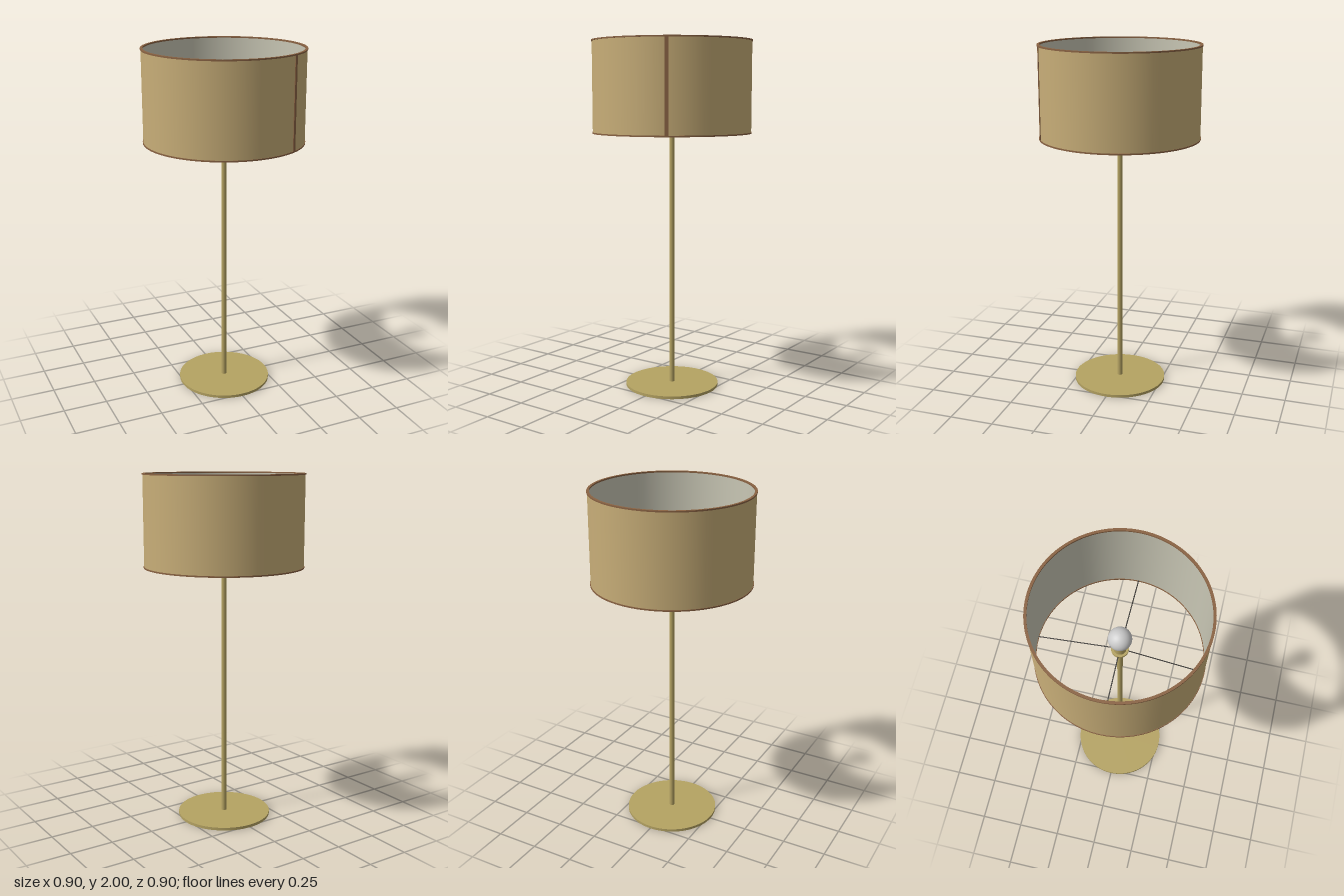
import * as THREE from 'three';

const SEG = 64;
const mat = (color, side = THREE.FrontSide) => new THREE.MeshStandardMaterial({ color, side });

export function createModel() {
  const lamp = new THREE.Group();
  const brass = mat(0xb5a362), fabric = mat(0xc8ae78), lining = mat(0xc8c6b4);
  const trim = mat(0x8a6343), wire = mat(0x44423f), glass = mat(0xcccccc);

  const add = (name, geometry, material, y = 0, parent = lamp) => {
    const mesh = new THREE.Mesh(geometry, material);
    mesh.name = name;
    mesh.position.y = y;
    parent.add(mesh);
    return mesh;
  };
  const lathe = (points, seg = SEG) =>
    new THREE.LatheGeometry(points.map(([r, y]) => new THREE.Vector2(r, y)), seg);
  const cylinder = (r, h, seg = 32) => new THREE.CylinderGeometry(r, r, h, seg);

  // Base and pole
  add('base', cylinder(0.27, 0.016, SEG), brass, 0.008);
  add('pole', cylinder(0.015, 1.51, 24), brass, 0.765);

  // Lamp holder: collar, flange and socket
  add('collar', cylinder(0.026, 0.035), brass, 1.53);
  add('flange', cylinder(0.046, 0.012), brass, 1.555);
  add('socket', cylinder(0.033, 0.075), brass, 1.598);

  // Bulb: short neck blending into a sphere
  const bulb = [[0.024, 1.63]];
  for (let i = 0; i <= 20; i++) {
    const a = 0.45 + (Math.PI - 0.45) * i / 20;
    bulb.push([Math.max(0, 0.062 * Math.sin(a)), 1.69 - 0.062 * Math.cos(a)]);
  }
  add('bulb', lathe(bulb, 32), glass);

  // Shade: outer fabric and inner lining
  add('shadeFabric', lathe([[0.449, 1.482], [0.449, 1.998]]), fabric);
  add('shadeLining', lathe([[0.441, 1.998], [0.441, 1.482]]), lining);

  // Trim rings on both rims
  for (const [name, y] of [['topTrim', 1.992], ['bottomTrim', 1.48]]) {
    const ring = new THREE.Shape().absarc(0, 0, 0.452, 0, Math.PI * 2);
    ring.holes.push(new THREE.Path().absarc(0, 0, 0.438, 0, Math.PI * 2, true));
    const geometry = new THREE.ExtrudeGeometry(ring, { depth: 0.008, bevelEnabled: false, curveSegments: SEG });
    add(name, geometry.rotateX(-Math.PI / 2), trim, y);
  }

  // Vertical seam on the front left
  const seam = add('seam', new THREE.BoxGeometry(0.02, 0.512, 0.006), trim, 1.74);
  seam.rotation.y = 0.548;
  seam.position.x = 0.449 * Math.sin(0.548);
  seam.position.z = 0.449 * Math.cos(0.548);

  // Four wire arms falling from the flange to the lower rim
  const arms = new THREE.Group();
  arms.name = 'shadeArms';
  lamp.add(arms);
  const path = new THREE.LineCurve3(new THREE.Vector3(0.02, 1.56, 0), new THREE.Vector3(0.442, 1.486, 0));
  for (let i = 0; i < 4; i++) {
    const arm = add('shadeArm', new THREE.TubeGeometry(path, 1, 0.003, 8), wire, 0, arms);
    arm.rotation.y = i * Math.PI / 2;
  }
  return lamp;
}
